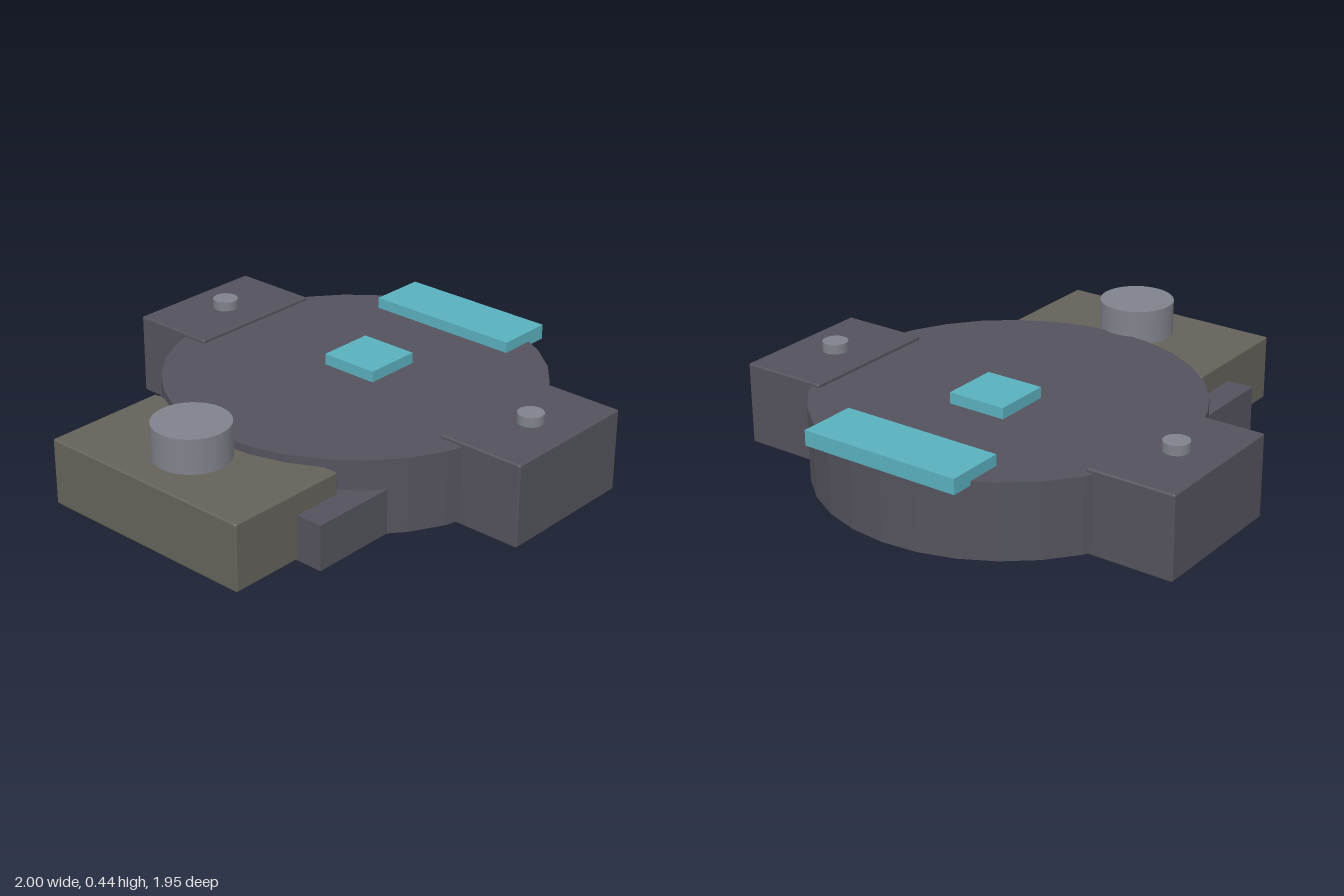
import * as THREE from 'three';
import { RoundedBoxGeometry } from 'three/addons/geometries/RoundedBoxGeometry.js';

const material = (name, color, flatShading = false) => {
  const m = new THREE.MeshStandardMaterial({ color, flatShading });
  m.name = name;
  return m;
};

export function createModel() {
  const group = new THREE.Group();
  const slate = material('slate', 0x54535d);
  const slateFlat = material('slate', 0x54535d, true);
  const olive = material('olive grey', 0x64625a);
  const teal = material('teal', 0x5ab0be);
  const metal = material('metal grey', 0x7f828b);

  const add = (name, geometry, mat, x, y, z) => {
    const mesh = new THREE.Mesh(geometry, mat);
    mesh.name = name;
    mesh.position.set(x, y, z);
    group.add(mesh);
  };

  // box given by its ranges; a bevel makes the edges slightly rounded
  const box = (name, mat, [x0, x1], [y0, y1], [z0, z1], bevel = 0) => {
    const size = [x1 - x0, y1 - y0, z1 - z0];
    const geometry = bevel ? new RoundedBoxGeometry(...size, 2, bevel) : new THREE.BoxGeometry(...size);
    add(name, geometry, mat, (x0 + x1) / 2, (y0 + y1) / 2, (z0 + z1) / 2);
  };

  // upright cylinder from y0 to y1
  const drum = (name, mat, r, sides, x, y0, y1, z) =>
    add(name, new THREE.CylinderGeometry(r, r, y1 - y0, sides), mat, x, (y0 + y1) / 2, z);

  // round body and the crossbar under the front block
  drum('discBody', slateFlat, 0.775, 32, 0, 0.018, 0.33, -0.197);
  box('crossbar', slate, [-0.595, 0.595], [0.018, 0.205], [0.25, 0.66]);

  // front block with its knob
  box('frontBlock', olive, [-0.483, 0.483], [0.02, 0.297], [0.445, 0.972], 0.008);
  drum('frontKnob', metal, 0.154, 32, 0, 0.25, 0.44, 0.71);

  // side pods with buttons
  for (const side of [-1, 1]) {
    const [a, b] = side < 0 ? [-1, -0.628] : [0.628, 1];
    box(side < 0 ? 'rightPod' : 'leftPod', slate, [a, b], [0, 0.345], [-0.588, 0.035], 0.008);
    drum(side < 0 ? 'rightButton' : 'leftButton', metal, 0.053, 16, side * 0.812, 0.32, 0.385, -0.277);
  }

  // raised teal panels on the deck
  box('centrePanel', teal, [-0.126, 0.126], [0.313, 0.376], [-0.402, -0.157]);
  box('rearPanel', teal, [-0.345, 0.345], [0.313, 0.376], [-0.98, -0.735]);

  return group;
}
